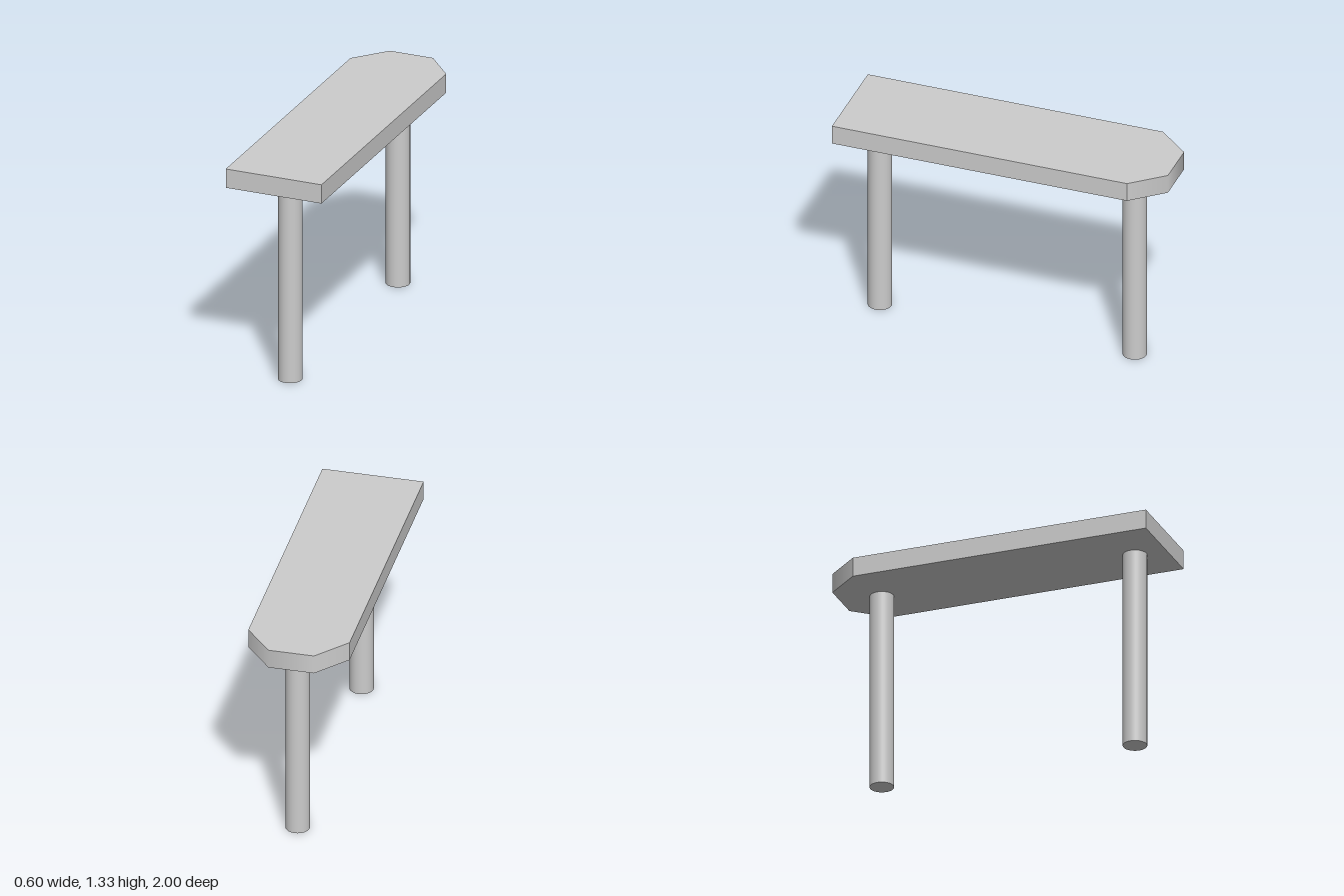
import * as THREE from 'three';

const material = new THREE.MeshStandardMaterial({ color: 0xcccccc });
const LEG_HEIGHT = 1.21;
const TOP_THICKNESS = 0.117;

// Slab with a square front end and a clipped back end
function createTop() {
  const outline = [[-0.3, -1], [0.3, -1], [0.3, 0.81], [0.135, 1], [-0.135, 1], [-0.3, 0.81]];
  const shape = new THREE.Shape(outline.map(([x, y]) => new THREE.Vector2(x, y)));
  const geometry = new THREE.ExtrudeGeometry(shape, { depth: TOP_THICKNESS, bevelEnabled: false });
  geometry.rotateX(-Math.PI / 2);

  // Blend the shading across the two vertical edges of the back end
  const { position, normal } = geometry.attributes;
  const chamfer = new THREE.Vector3(0.19, 0, -0.165).normalize();
  const blended = chamfer.clone().add(new THREE.Vector3(0, 0, -1)).normalize();
  for (let i = 0; i < position.count; i++) {
    const onBackEdge = position.getZ(i) < -0.99;
    const isWall = Math.abs(normal.getY(i)) < 0.5;
    if (onBackEdge && isWall) {
      normal.setXYZ(i, Math.sign(position.getX(i)) * blended.x, 0, blended.z);
    }
  }

  const top = new THREE.Mesh(geometry, material);
  top.name = 'top';
  top.position.y = LEG_HEIGHT;
  return top;
}

// Round post, slightly off the centre line
function createLeg(name, z) {
  const leg = new THREE.Mesh(new THREE.CylinderGeometry(0.071, 0.071, LEG_HEIGHT, 32), material);
  leg.name = name;
  leg.position.set(0.021, LEG_HEIGHT / 2, z);
  return leg;
}

export function createModel() {
  const model = new THREE.Group();
  model.name = 'table';
  model.add(createTop(), createLeg('frontLeg', 0.808), createLeg('backLeg', -0.755));
  return model;
}
